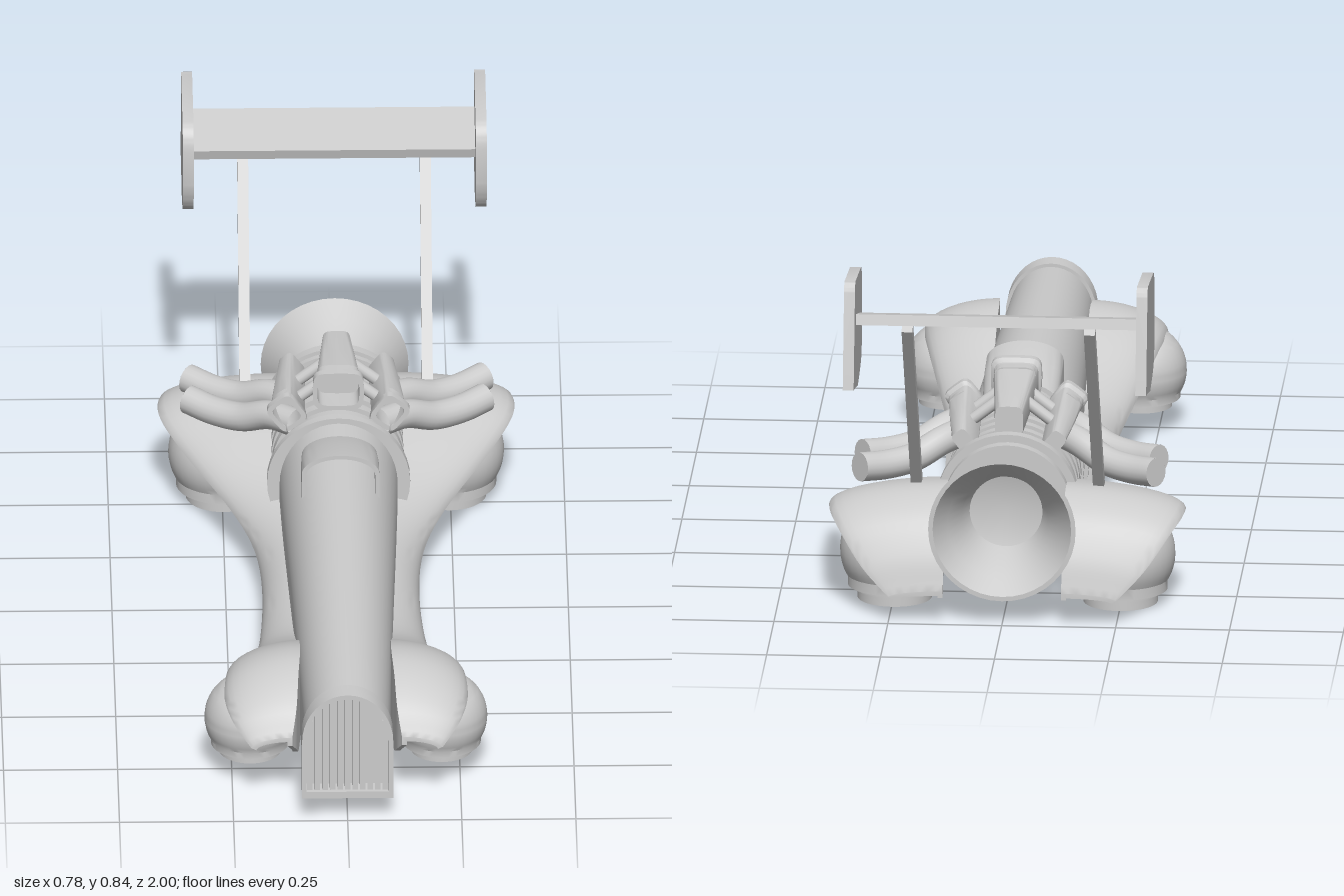
import * as THREE from 'three';
import { toCreasedNormals } from 'three/addons/utils/BufferGeometryUtils.js';

const grey = new THREE.MeshStandardMaterial({ color: 0xcccccc, side: THREE.DoubleSide });
const AXIS_Y = 0.217; // height of the engine's long axis

function add(parent, name, geometry, x = 0, y = 0, z = 0) {
  const mesh = new THREE.Mesh(geometry, grey);
  mesh.name = name;
  mesh.position.set(x, y, z);
  parent.add(mesh);
  return mesh;
}

// Skin closed cross-sections [{z, pts: [[x, y], ...]}], cap both ends, face outwards
function loft(sections, crease = 0.7) {
  const n = sections[0].pts.length, pos = [], idx = [];
  for (const s of sections) for (const [x, y] of s.pts) pos.push(x, y, s.z);
  for (let i = 0; i < sections.length - 1; i++) {
    for (let j = 0; j < n; j++) {
      const a = i * n + j, b = i * n + (j + 1) % n;
      idx.push(a, b, b + n, a, b + n, a + n);
    }
  }
  [0, sections.length - 1].forEach((k) => {
    const ring = sections[k].pts.map(([x, y]) => new THREE.Vector2(x, y));
    const clockwise = THREE.ShapeUtils.isClockWise(ring);
    for (const [a, b, c] of THREE.ShapeUtils.triangulateShape(ring, [])) {
      const f = [a + k * n, b + k * n, c + k * n];
      const flip = (k === 0) !== clockwise;
      idx.push(...(flip ? [f[0], f[2], f[1]] : f));
    }
  });
  const v = (i) => new THREE.Vector3().fromArray(pos, i * 3);
  let volume = 0;
  for (let i = 0; i < idx.length; i += 3) volume += v(idx[i]).dot(v(idx[i + 1]).cross(v(idx[i + 2])));
  if (volume < 0) idx.reverse();
  const g = new THREE.BufferGeometry();
  g.setAttribute('position', new THREE.Float32BufferAttribute(pos, 3));
  g.setIndex(idx);
  return toCreasedNormals(g, crease);
}

// Upright arch: straight sides with a slightly pointed round top
function arch(hw, top, bottom, rise = hw * 1.15, n = 20) {
  const pts = [[hw, bottom]];
  for (let i = 0; i <= n; i++) {
    const a = Math.PI * i / n;
    pts.push([hw * Math.cos(a), top - rise + rise * Math.sin(a)]);
  }
  pts.push([-hw, bottom]);
  return pts;
}
const path2 = (pts, C = THREE.Shape) => new C(pts.map(([x, y]) => new THREE.Vector2(x, y)));

// Lathe around the z axis; profile is [z, radius]
function latheZ(profile) {
  const g = new THREE.LatheGeometry(profile.map(([z, r]) => new THREE.Vector2(r, z)), 40);
  return toCreasedNormals(g.rotateX(Math.PI / 2), 0.5);
}

// Hollow tapered air intake, open at the front
function intake(w, h, length) {
  const section = (hw, hh, cy, z) => {
    const p = [], n = 24;
    for (let i = 0; i < n; i++) {
      const a = 2 * Math.PI * i / n, c = Math.cos(a), s = Math.sin(a);
      p.push([hw * Math.sign(c) * Math.abs(c) ** 0.45, cy + hh * Math.sign(s) * Math.abs(s) ** 0.45]);
    }
    return { z, pts: p };
  };
  const a = w / 2, b = h / 2;
  return loft([section(a - 0.01, b - 0.01, 0, -0.06), section(a - 0.01, b - 0.01, 0, 0), section(a, b, 0, 0),
    section(a, b, 0, -0.02), section(a * 0.88, b * 0.9, -0.005, -0.025),
    section(a * 0.72, b * 0.85, -0.015, -length * 0.55), section(a * 0.55, b * 0.8, -0.027, -length)]);
}

// Sweeping mudguard and running board for the +x side
function fenderGeometry() {
  // z, inner x, outer x, top y, outer edge y, inner wall bottom y
  const rows = [
    [0.93, 0.12, 0.21, 0.17, 0.145, 0.15], [0.89, 0.11, 0.245, 0.225, 0.18, 0.12],
    [0.82, 0.105, 0.265, 0.268, 0.2, 0.08], [0.74, 0.1, 0.265, 0.283, 0.21, 0.07],
    [0.65, 0.1, 0.25, 0.262, 0.195, 0.07], [0.5, 0.1, 0.212, 0.19, 0.13, 0.07],
    [0.36, 0.1, 0.185, 0.155, 0.092, 0.07], [0.1, 0.1, 0.172, 0.148, 0.083, 0.07],
    [-0.1, 0.1, 0.185, 0.152, 0.09, 0.075], [-0.25, 0.11, 0.235, 0.178, 0.115, 0.09],
    [-0.4, 0.125, 0.33, 0.232, 0.17, 0.16], [-0.5, 0.13, 0.384, 0.262, 0.208, 0.2],
    [-0.59, 0.13, 0.388, 0.268, 0.212, 0.2], [-0.67, 0.13, 0.36, 0.23, 0.185, 0.17],
    [-0.72, 0.13, 0.31, 0.155, 0.12, 0.11], [-0.745, 0.13, 0.25, 0.075, 0.06, 0.06]];
  const curve = (f) => new THREE.CatmullRomCurve3(rows.map(f), false, 'catmullrom', 0.5);
  const plan = curve((r) => new THREE.Vector3(r[1], r[2], r[0]));
  const side = curve((r) => new THREE.Vector3(r[3], r[4], r[5]));
  const sections = [], t = 0.011;
  for (let i = 0; i <= 75; i++) {
    const p = plan.getPoint(i / 75), q = side.getPoint(i / 75);
    const outer = [[p.x, q.z]], inner = [[p.x + t, q.z]];
    for (let k = 0; k <= 10; k++) {
      const a = k / 10 * Math.PI / 2;
      const c = Math.cos(a) ** 1.1, s = Math.sin(a) ** 1.1;
      outer.push([p.x + (p.y - p.x) * s, q.y + (q.x - q.y) * c]);
      inner.push([p.x + t + (p.y - p.x - 2 * t) * s, q.y - t / 2 + (q.x - q.y - t / 2) * c]);
    }
    sections.push({ z: p.z, pts: [...outer, ...inner.reverse()] });
  }
  return loft(sections, 0.9);
}

// Ball-shaped hover pod with stepped hollow rings underneath
function podGeometry(r, drop) {
  const p = [];
  for (let i = 0; i <= 18; i++) {
    const a = i / 18 * 2.05;
    p.push([r * Math.sin(a), r * Math.cos(a)]);
  }
  const y = r * Math.cos(2.05);
  p.push([r * 0.86, y], [r * 0.86, y - drop * 0.45], [r * 0.74, y - drop * 0.45], [r * 0.74, y - drop * 0.6],
    [r * 0.68, y - drop * 0.6], [r * 0.68, y - drop], [r * 0.5, y - drop], [r * 0.46, y - drop * 0.3], [0, y - drop * 0.3]);
  return toCreasedNormals(new THREE.LatheGeometry(p.map(([x, v]) => new THREE.Vector2(x, v)), 36), 0.5);
}

export function createModel() {
  const car = new THREE.Group();
  car.name = 'rocketRacer';

  // Long hull, grille frame and slats
  add(car, 'hull', loft([{ z: 0.96, pts: arch(0.092, 0.302, 0.068) }, { z: 0.3, pts: arch(0.112, 0.335, 0.06) },
    { z: -0.22, pts: arch(0.13, 0.352, 0.06) }]));
  const frame = path2(arch(0.1, 0.31, 0.056));
  frame.holes.push(path2(arch(0.09, 0.3, 0.072), THREE.Path));
  add(car, 'grilleFrame', toCreasedNormals(new THREE.ExtrudeGeometry(frame, { depth: 0.05, bevelEnabled: false }), 0.6), 0, 0, 0.95);
  for (let i = -5; i <= 5; i++) {
    const x = i * 0.0165, top = 0.197 + 0.1 * Math.sqrt(1 - (x / 0.092) ** 2);
    add(car, 'grilleSlat', new THREE.BoxGeometry(0.012, top - 0.072, 0.03), x, (top + 0.072) / 2, 0.975);
  }

  // Cockpit cowl with an open front
  const cowl = (z, hw, top) => {
    const o = arch(hw, top, 0.3, 0.045), i = arch(hw - 0.009, top - 0.009, 0.3, 0.04).reverse();
    return { z, pts: [...o, ...i] };
  };
  add(car, 'cockpitCowl', loft([cowl(0.055, 0.085, 0.408), cowl(-0.03, 0.085, 0.393), cowl(-0.12, 0.082, 0.365)]));

  // Engine core with cooling rings, collars and exhaust bell
  add(car, 'frontCollar', latheZ([[-0.245, 0], [-0.245, 0.148], [-0.225, 0.148], [-0.225, 0.157], [-0.205, 0.157], [-0.205, 0]]), 0, AXIS_Y - 0.01);
  add(car, 'engineCore', latheZ([[-0.56, 0], [-0.56, 0.11], [-0.5, 0.13], [-0.22, 0.13], [-0.22, 0]]), 0, AXIS_Y);
  for (let i = 0; i < 5; i++) {
    const z = -0.29 - i * 0.047;
    add(car, 'coolingRing', latheZ([[z - 0.011, 0.12], [z - 0.011, 0.145], [z + 0.011, 0.145], [z + 0.011, 0.12]]), 0, AXIS_Y - 0.005);
  }
  add(car, 'rearCollar', latheZ([[-0.565, 0], [-0.565, 0.14], [-0.54, 0.14], [-0.54, 0.157], [-0.515, 0.157],
    [-0.515, 0.148], [-0.5, 0.148], [-0.5, 0]]), 0, AXIS_Y);
  add(car, 'exhaustBell', latheZ([[-0.58, 0], [-0.6, 0.08], [-0.65, 0.095], [-0.7, 0.122], [-0.745, 0.152],
    [-0.745, 0.162], [-0.7, 0.135], [-0.65, 0.108], [-0.6, 0.09], [-0.55, 0.09]]), 0, AXIS_Y);

  // Three air intakes around the top of the engine
  for (const k of [-1, 0, 1]) {
    const pivot = new THREE.Group();
    pivot.name = 'airIntake';
    pivot.position.set(0, AXIS_Y, 0);
    pivot.rotation.z = -k * 0.66;
    add(pivot, 'intakeDuct', intake(k ? 0.068 : 0.112, k ? 0.075 : 0.09, 0.27), 0, k ? 0.185 : 0.2, -0.23);
    if (k) for (const z of [-0.31, -0.39]) {
      add(pivot, 'linkPipe', new THREE.CylinderGeometry(0.013, 0.013, 0.11, 14).rotateZ(Math.PI / 2), -k * 0.05, 0.168, z);
    }
    car.add(pivot);
  }

  // Rear wing with swept end plates
  add(car, 'wingBlade', new THREE.BoxGeometry(0.62, 0.024, 0.137), 0, 0.73, -0.855).rotation.x = 0.27;
  const plate = new THREE.Shape();
  plate.moveTo(0.705, 0.69);
  plate.lineTo(0.71, 0.76);
  plate.quadraticCurveTo(0.715, 0.81, 0.75, 0.816);
  plate.lineTo(0.93, 0.84);
  plate.quadraticCurveTo(0.95, 0.842, 0.955, 0.82);
  plate.lineTo(1, 0.61);
  plate.quadraticCurveTo(0.92, 0.595, 0.86, 0.578);
  plate.quadraticCurveTo(0.77, 0.59, 0.74, 0.605);
  plate.quadraticCurveTo(0.71, 0.635, 0.705, 0.69);
  const plateGeometry = toCreasedNormals(new THREE.ExtrudeGeometry(plate, { depth: 0.024, bevelEnabled: false })
    .rotateY(Math.PI / 2), 0.6);

  // Everything that comes in left and right pairs
  const fender = fenderGeometry(), frontPod = podGeometry(0.1, 0.036), rearPod = podGeometry(0.12, 0.055);
  for (const s of [1, -1]) {
    const half = new THREE.Group();
    half.name = s > 0 ? 'leftSide' : 'rightSide';
    half.scale.x = s;
    car.add(half);
    add(half, 'fender', fender);
    add(half, 'frontHoverPod', frontPod, 0.21, 0.133, 0.755);
    add(half, 'rearHoverPod', rearPod, 0.248, 0.111, -0.543);
    add(half, 'wingEndPlate', plateGeometry, 0.309);

    const from = new THREE.Vector3(0.2, 0.235, -0.52), to = new THREE.Vector3(0.2, 0.715, -0.862);
    const strut = add(half, 'wingStrut', new THREE.BoxGeometry(0.024, from.distanceTo(to), 0.028));
    strut.position.copy(from).lerp(to, 0.5);
    strut.rotation.x = Math.atan2(to.z - from.z, to.y - from.y);

    for (const z of [0, -0.1]) {
      const curve = new THREE.CatmullRomCurve3([[0.09, 0.33, -0.25], [0.15, 0.32, -0.31], [0.21, 0.293, -0.353],
        [0.27, 0.287, -0.395], [0.325, 0.293, -0.437]].map(([x, y, w]) => new THREE.Vector3(x, y, w + z)));
      add(half, 'exhaustPipe', new THREE.TubeGeometry(curve, 24, 0.032, 18));
      const cap = add(half, 'exhaustPipeEnd', new THREE.CircleGeometry(0.032, 18));
      cap.position.copy(curve.getPoint(1));
      cap.quaternion.setFromUnitVectors(new THREE.Vector3(0, 0, 1), curve.getTangent(1));
    }
  }
  return car;
}
